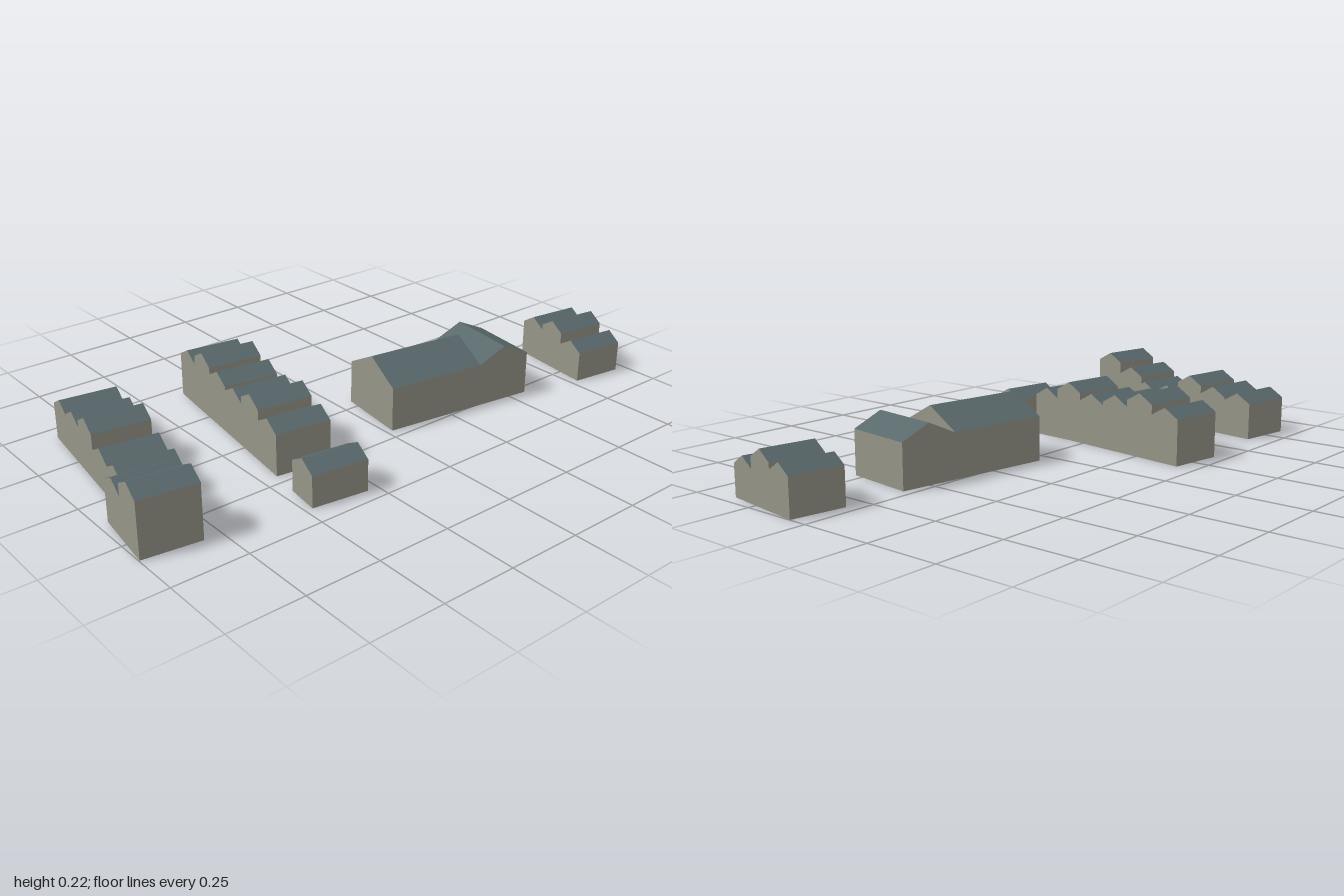
import * as THREE from 'three';

const wallMat = new THREE.MeshStandardMaterial({ color: 0x969588, side: THREE.DoubleSide });
wallMat.name = 'stone wall';
const roofMat = new THREE.MeshStandardMaterial({ color: 0x5a696c, side: THREE.DoubleSide });
roofMat.name = 'slate roof';

// Flat-faced geometry from convex polygons (corners counter-clockwise seen from outside)
function polygons(faces) {
  const pos = [];
  for (const f of faces)
    for (let i = 1; i < f.length - 1; i++) pos.push(...f[0], ...f[i], ...f[i + 1]);
  const g = new THREE.BufferGeometry();
  g.setAttribute('position', new THREE.Float32BufferAttribute(pos, 3));
  g.computeVertexNormals();
  return g;
}

// Gabled house, open underneath, ridge along z, centred on its footprint
function house(name, w, d, eave, ridge) {
  const x = w / 2, z = d / 2;
  // gable outline, counter-clockwise seen from +z
  const p = [[-x, 0], [x, 0], [x, eave], [0, ridge], [-x, eave]];
  const F = p.map(([a, b]) => [a, b, z]);
  const B = p.map(([a, b]) => [a, b, -z]);
  const strip = (i, j) => [F[i], B[i], B[j], F[j]];
  const g = new THREE.Group();
  g.name = name;
  const walls = new THREE.Mesh(polygons([F, [...B].reverse(), strip(1, 2), strip(4, 0)]), wallMat);
  walls.name = 'walls';
  const roof = new THREE.Mesh(polygons([strip(2, 3), strip(3, 4)]), roofMat);
  roof.name = 'roof';
  g.add(walls, roof);
  return g;
}

// Plot whose origin is its front corner on the -x side, turned to the street angle
function plot(name, x, z) {
  const g = new THREE.Group();
  g.name = name;
  g.position.set(x, 0, z);
  g.rotation.y = -0.134;
  return g;
}

// Row of equal-width houses with individual ridge heights
function terrace(name, x, z, w, d, ridges, rise = 0.031) {
  const row = plot(name, x, z);
  ridges.forEach((ridge, i) => {
    const h = house('house' + (i + 1), w, d, ridge - rise, ridge);
    h.position.set((i + 0.5) * w, 0, -d / 2);
    row.add(h);
  });
  return row;
}

export function createModel() {
  const model = new THREE.Group();
  model.name = 'village';

  model.add(
    terrace('frontTerrace', -0.437, 0.84, 0.111, 0.191, [0.157, 0.165, 0.191, 0.14, 0.137]),
    terrace('frontCornerHouses', 0.115, 0.967, 0.114, 0.191, [0.172, 0.215]),
    terrace('middleTerrace', -0.455, 0.355, 0.112, 0.189, [0.185, 0.217, 0.194, 0.182, 0.207, 0.172]),
    terrace('detachedCottage', 0.31, 0.46, 0.116, 0.19, [0.137]),
    terrace('backTerrace', 0.04, -0.818, 0.101, 0.183, [0.155, 0.175, 0.136])
  );

  // Large hall: long nave with a lower cross wing behind it
  const hall = plot('hall', -0.04, -0.055);
  const w = 0.252, naveD = 0.35, wingD = 0.2;
  const nave = house('nave', w, naveD, 0.15, 0.216);
  nave.position.set(w / 2, 0, -naveD / 2);
  const wing = house('crossWing', wingD, w, 0.15, 0.196);
  wing.rotation.y = Math.PI / 2;
  wing.position.set(w / 2, 0, -naveD - wingD / 2);
  hall.add(nave, wing);
  model.add(hall);

  return model;
}
